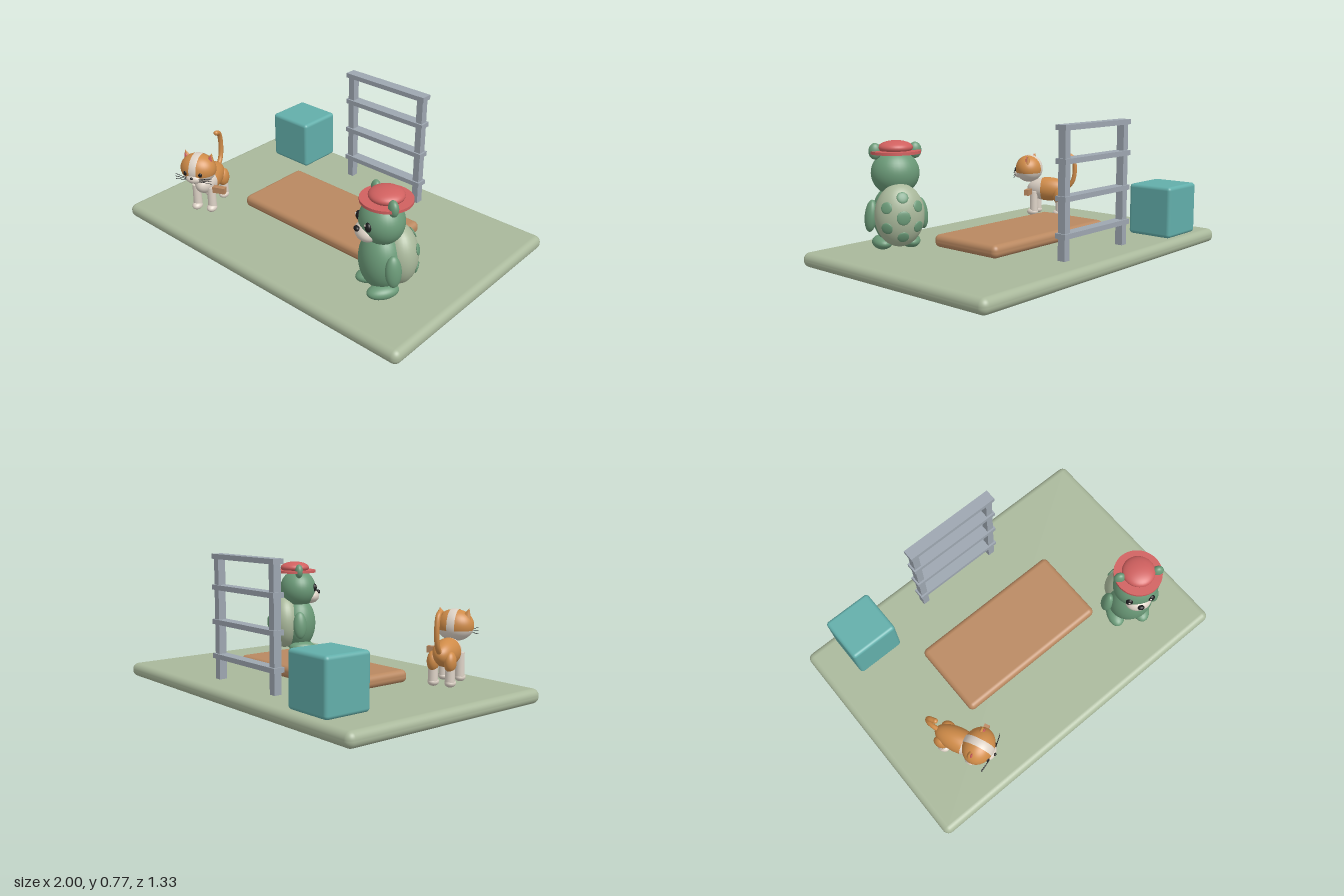
import * as THREE from 'three';
import { RoundedBoxGeometry } from 'three/addons/geometries/RoundedBoxGeometry.js';

const mat = (name, color, side = THREE.FrontSide) => {
  const m = new THREE.MeshStandardMaterial({ color, side });
  m.name = name;
  return m;
};

export function createModel() {
  const M = {
    sage: mat('sage', 0xa9b89b),
    green: mat('green', 0x6b9a78),
    tan: mat('tan', 0xb98860),
    teal: mat('teal', 0x62aeaa),
    steel: mat('steel', 0x9da6b0),
    red: mat('red', 0xd0605f),
    orange: mat('orange', 0xcf8b48, THREE.DoubleSide),
    cream: mat('cream', 0xddd2c6, THREE.DoubleSide),
    black: mat('black', 0x1c1c1e),
  };
  const root = new THREE.Group();
  root.name = 'playground';

  const add = (parent, name, geo, material, pos = [0, 0, 0], rot = [0, 0, 0]) => {
    const mesh = new THREE.Mesh(geo, material);
    mesh.name = name;
    mesh.position.set(...pos);
    mesh.rotation.set(...rot);
    parent.add(mesh);
    return mesh;
  };
  const group = (name, x, z, ry) => {
    const g = new THREE.Group();
    g.name = name;
    g.position.set(x, 0, z);
    g.rotation.y = ry;
    root.add(g);
    return g;
  };
  const ellipsoid = (rx, ry, rz) => new THREE.SphereGeometry(1, 32, 24).scale(rx, ry, rz);
  const rounded = (w, h, d, r) => new RoundedBoxGeometry(w, h, d, 5, r);

  // Ground, mat and block
  add(root, 'base', rounded(2, 0.08, 1.33, 0.037), M.sage, [0, 0.04, 0]);
  add(root, 'mat', rounded(0.935, 0.07, 0.455, 0.03), M.tan, [0, 0.119, -0.005]);
  add(root, 'block', rounded(0.285, 0.29, 0.27, 0.02), M.teal, [-0.667, 0.231, -0.5]);

  // Climbing frame
  const frame = group('climbingFrame', 0, -0.498, 0);
  for (const s of [-1, 1]) add(frame, 'post', new THREE.BoxGeometry(0.04, 0.675, 0.044), M.steel, [s * 0.25, 0.422, 0]);
  for (const y of [0.212, 0.4, 0.587, 0.753]) add(frame, 'rung', new THREE.BoxGeometry(0.56, 0.027, 0.065), M.steel, [0, y, 0]);

  // Bear with a shell and a hat
  const bear = group('shelledBear', 0.64, 0.31, -0.5);
  add(bear, 'body', ellipsoid(0.125, 0.165, 0.11), M.green, [0, 0.275, 0.02]);
  add(bear, 'head', ellipsoid(0.127, 0.12, 0.113), M.green, [0, 0.495, 0.02]);
  add(bear, 'muzzle', ellipsoid(0.072, 0.046, 0.055), M.cream, [0, 0.446, 0.1]);
  add(bear, 'nose', ellipsoid(0.019, 0.014, 0.014), M.black, [0, 0.472, 0.15]);
  for (const s of [-1, 1]) {
    add(bear, 'eye', ellipsoid(0.021, 0.025, 0.016), M.black, [s * 0.06, 0.505, 0.115]);
    add(bear, 'eyeGlint', ellipsoid(0.006, 0.006, 0.004), M.cream, [s * 0.06 - 0.006, 0.514, 0.129]);
    add(bear, 'ear', ellipsoid(0.034, 0.043, 0.025), M.green, [s * 0.105, 0.612, 0.01]);
    add(bear, 'arm', ellipsoid(0.032, 0.085, 0.042), M.green, [s * 0.135, 0.275, 0.01], [0, 0, s * 0.12]);
    add(bear, 'foot', ellipsoid(0.052, 0.037, 0.085), M.green, [s * 0.075, 0.127, 0.035]);
  }

  // Shell with thin spots laid on its surface
  const shellCentre = new THREE.Vector3(0, 0.285, -0.07);
  const shellSize = new THREE.Vector3(0.13, 0.165, 0.1);
  add(bear, 'shell', ellipsoid(...shellSize.toArray()), M.sage, shellCentre.toArray());
  const spots = [[0, 0, 0.036], [0, 0.62, 0.03], [0, -0.62, 0.03]];
  for (const s of [-1, 1]) spots.push([s * 0.62, 0.32, 0.03], [s * 0.62, -0.32, 0.03]);
  for (const [x, y, r] of spots) {
    const dir = new THREE.Vector3(x, y, -Math.sqrt(1 - x * x - y * y));
    const spot = add(bear, 'shellSpot', ellipsoid(r, r, 0.007), M.green);
    spot.position.copy(dir).multiply(shellSize).add(shellCentre);
    spot.quaternion.setFromUnitVectors(new THREE.Vector3(0, 0, -1), dir.clone().divide(shellSize).normalize());
  }
  add(bear, 'hatBrim', new THREE.CylinderGeometry(0.132, 0.132, 0.015, 48), M.red, [0, 0.607, 0]);
  add(bear, 'hatCrown', ellipsoid(0.09, 0.037, 0.09), M.red, [0, 0.63, 0]);

  // Cat: body split into orange rear and cream chest
  const cat = group('cat', -0.64, 0.33, 0.42);
  const bodyPart = (a, b) => new THREE.SphereGeometry(1, 32, 24, 0, Math.PI * 2, a, b - a)
    .rotateX(Math.PI / 2).scale(0.068, 0.075, 0.14);
  add(cat, 'chest', bodyPart(0, 1.3), M.cream, [0, 0.26, 0]);
  add(cat, 'rear', bodyPart(1.3, Math.PI), M.orange, [0, 0.26, 0]);
  for (const s of [-1, 1]) {
    for (const z of [0.085, -0.085]) {
      add(cat, 'leg', new THREE.CylinderGeometry(0.024, 0.026, 0.14, 20), M.cream, [s * 0.046, 0.18, z]);
      add(cat, 'paw', ellipsoid(0.029, 0.023, 0.036), M.cream, [s * 0.046, 0.115, z + 0.008]);
    }
    add(cat, 'thigh', ellipsoid(0.032, 0.055, 0.042), M.orange, [s * 0.046, 0.225, -0.085]);
  }
  const tailPath = new THREE.CatmullRomCurve3([[0.27, -0.12], [0.32, -0.16], [0.41, -0.172], [0.47, -0.155], [0.488, -0.12]]
    .map(([y, z]) => new THREE.Vector3(0, y, z)));
  add(cat, 'tail', new THREE.TubeGeometry(tailPath, 32, 0.014, 12), M.orange);
  add(cat, 'tailTip', ellipsoid(0.014, 0.014, 0.014), M.orange, [0, 0.488, -0.12]);
  add(cat, 'sideTag', new THREE.BoxGeometry(0.075, 0.036, 0.03), M.tan, [0.107, 0.25, 0.105]);

  // Cat head: orange cap, cream lower face and a cream stripe over the top
  const headAt = [0, 0.388, 0.13];
  const headPart = (a, b) => new THREE.SphereGeometry(1, 40, 24, 0, Math.PI * 2, a, b - a).scale(0.103, 0.086, 0.085);
  add(cat, 'headTop', headPart(0, 1.85), M.orange, headAt);
  add(cat, 'lowerFace', headPart(1.85, Math.PI), M.cream, headAt);
  const stripe = new THREE.SphereGeometry(1, 48, 6, 0, Math.PI * 2, Math.PI / 2 - 0.21, 0.42)
    .rotateZ(Math.PI / 2).scale(0.104, 0.0875, 0.0865);
  add(cat, 'headStripe', stripe, M.cream, headAt);
  add(cat, 'muzzle', ellipsoid(0.045, 0.028, 0.03), M.cream, [0, 0.353, 0.197]);
  add(cat, 'nose', ellipsoid(0.009, 0.007, 0.007), M.black, [0, 0.366, 0.225]);
  for (const s of [-1, 1]) {
    add(cat, 'eye', ellipsoid(0.011, 0.014, 0.008), M.black, [s * 0.045, 0.385, 0.205]);
    add(cat, 'ear', new THREE.ConeGeometry(0.034, 0.065, 20).scale(1, 1, 0.6), M.orange, [s * 0.072, 0.452, 0.115], [0, 0, -s * 0.3]);
    add(cat, 'innerEar', new THREE.ConeGeometry(0.024, 0.05, 20).scale(1, 1, 0.5), M.red, [s * 0.072, 0.45, 0.126], [0, 0, -s * 0.3]);
    for (const k of [-1, 0, 1]) {
      add(cat, 'whisker', new THREE.CylinderGeometry(0.0015, 0.0015, 0.075, 6), M.black,
        [s * 0.073, 0.353 + k * 0.011, 0.205], [0, s * 0.15, Math.PI / 2 + s * k * 0.15]);
    }
  }
  return root;
}
